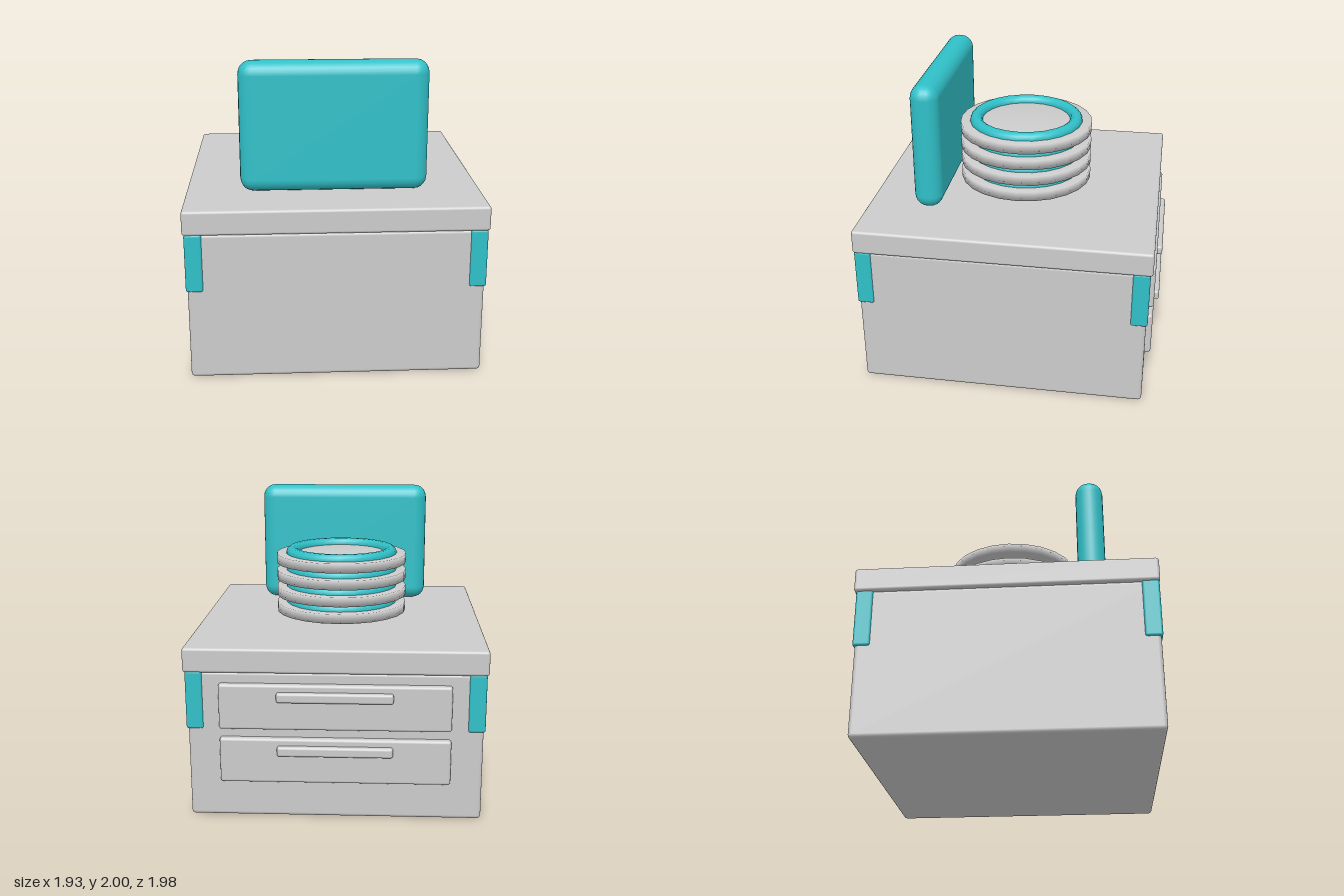
import * as THREE from 'three';
import { mergeVertices } from 'three/addons/utils/BufferGeometryUtils.js';
import { RoundedBoxGeometry } from 'three/addons/geometries/RoundedBoxGeometry.js';

const grey = new THREE.MeshStandardMaterial({ color: 0xcccccc });
const teal = new THREE.MeshStandardMaterial({ color: 0x30c0c8 });

export function createModel() {
  const model = new THREE.Group();

  function add(name, geometry, material) {
    const mesh = new THREE.Mesh(geometry, material);
    mesh.name = name;
    model.add(mesh);
    return mesh;
  }

  // Bevelled box given by its extents along x, y and z
  function box(name, [x0, x1], [y0, y1], [z0, z1], radius, material = grey, segments = 2) {
    const geometry = new RoundedBoxGeometry(x1 - x0, y1 - y0, z1 - z0, segments, radius);
    geometry.translate((x0 + x1) / 2, (y0 + y1) / 2, (z0 + z1) / 2);
    return add(name, geometry, material);
  }

  // Cabinet and its overhanging top
  box('cabinetBody', [-0.945, 0.945], [0, 0.985], [-0.92, 0.975], 0.025);
  box('tableTop', [-0.965, 0.965], [0.98, 1.14], [-0.945, 0.99], 0.018);

  // Corner guards under the top
  for (const side of [-1, 1]) {
    const x = side > 0 ? [0.845, 0.955] : [-0.955, -0.845];
    box('frontCornerGuard', x, [0.6, 0.985], [0.875, 0.985], 0.015, teal);
    box('backCornerGuard', x, [0.6, 0.985], [-0.93, -0.82], 0.015, teal);
  }

  // Two drawers on the back, each with a bar handle
  for (const y of [0.25, 0.61]) {
    box('drawerFront', [-0.74, 0.74], [y, y + 0.3], [-0.96, -0.88], 0.018);
    box('drawerHandle', [-0.37, 0.37], [y + 0.19, y + 0.255], [-0.993, -0.94], 0.016);
  }

  // Upright rounded panel
  box('uprightPanel', [-0.61, 0.61], [1.145, 2], [0.48, 0.67], 0.088, teal, 3);

  // Stack of plates: softly shaded discs, each with a ring on top
  let disc = new THREE.CylinderGeometry(0.455, 0.455, 0.065, 24);
  disc.deleteAttribute('normal');
  disc.deleteAttribute('uv');
  disc = mergeVertices(disc);
  disc.computeVertexNormals();
  const ring = new THREE.TorusGeometry(0.347, 0.043, 10, 24).rotateX(Math.PI / 2);
  for (let i = 0; i < 4; i++) {
    const y = 1.181 + i * 0.1145;
    add('plate', disc, grey).position.y = y + 0.0325;
    add('plateRing', ring, teal).position.y = y + 0.067;
  }

  return model;
}
